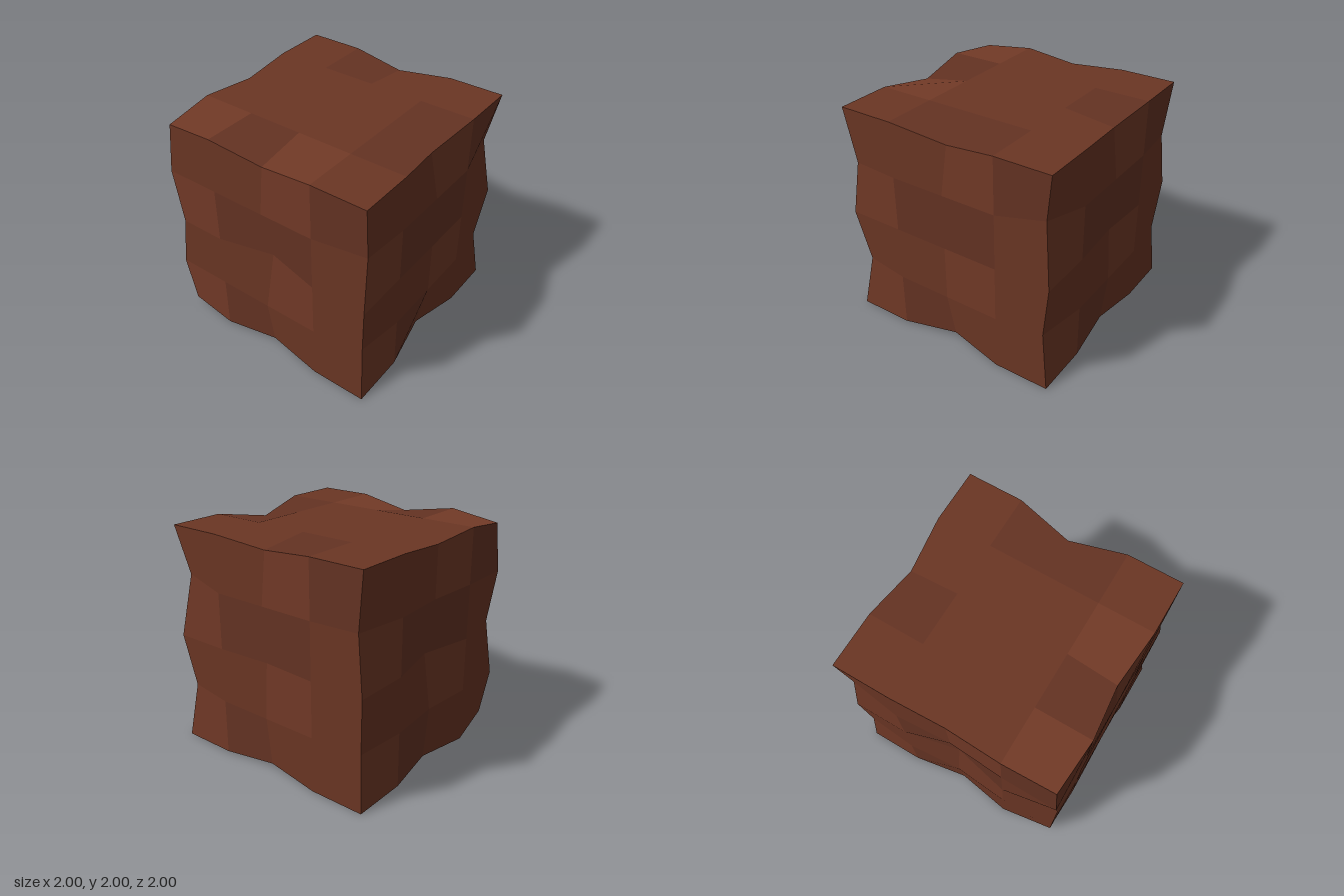
import * as THREE from 'three';

// Dents pushed into a regular 4 x 4 x 4 block: 'x,y,z' of the corner -> offset
const DENTS = {
  // upright edges
  '1,1.5,1': [-0.08, 0.06, -0.075],
  '1,0.5,1': [-0.075, 0, -0.05],
  '-1,1.5,1': [0.075, 0, -0.03],
  '-1,0.5,1': [0.08, 0, -0.06],
  '1,1.5,-1': [-0.033, 0, 0.064],
  '1,0.5,-1': [-0.042, 0, 0.037],
  '-1,1,-1': [0, 0, 0.08],
  // rear corners
  '-1,2,-1': [0.037, -0.055, 0.025],
  '-1,0,-1': [0.015, 0.062, 0.075],
  // middles of the top edges
  '0,2,1': [0, -0.093, -0.086],
  '1,2,0': [-0.053, -0.053, 0],
  '-1,2,0': [0.05, -0.08, 0],
  '0,2,-1': [0, -0.04, 0.027],
  // middles of the bottom edges
  '0,0,1': [0, 0.045, -0.09],
  '1,0,0': [-0.05, 0.042, 0],
  '-1,0,0': [0.066, 0.04, 0],
  '0,0,-1': [0, 0.02, 0.08],
  // hollows in the faces
  '0,1.5,-1': [0, 0, 0.03],
  '0,1,-1': [0, 0, 0.11],
  '0,0.5,-1': [0, 0, 0.04],
  '-1,1,0': [0.115, 0, 0],
  '1,1,0': [-0.03, 0, 0],
};

// Patch colours, row by row from the top left: 0 dark, 1 mid, 2 light
const SIDE = '1120' + '2001' + '1121' + '2011';
const CAP = '2111' + '0110' + '2111' + '1001';
const PATTERNS = [SIDE, SIDE, CAP, CAP, SIDE, SIDE]; // +x -x +y -y +z -z

function soilMaterial(name, color) {
  const material = new THREE.MeshStandardMaterial({ color });
  material.name = name;
  return material;
}

export function createModel() {
  const materials = [
    soilMaterial('dark soil', 0x653323),
    soilMaterial('mid soil', 0x6b3624),
    soilMaterial('light soil', 0x733a27),
  ];

  const geometry = new THREE.BoxGeometry(2, 2, 2, 4, 4, 4).translate(0, 1, 0);

  // Push the corners in; each face keeps its even, flat normals
  const position = geometry.attributes.position;
  for (let i = 0; i < position.count; i++) {
    const corner = [position.getX(i), position.getY(i), position.getZ(i)];
    const key = corner.map((v) => Math.round(v * 2) / 2 + 0).join(',');
    const dent = DENTS[key];
    if (dent) position.setXYZ(i, ...corner.map((v, k) => v + dent[k]));
  }

  // Sort the square patches into one group per colour
  const patches = [[], [], []];
  PATTERNS.forEach((pattern, face) => {
    [...pattern].forEach((shade, cell) => {
      const start = (face * 16 + cell) * 6;
      patches[+shade].push(...geometry.index.array.slice(start, start + 6));
    });
  });
  geometry.clearGroups();
  geometry.setIndex(patches.flat());
  let start = 0;
  patches.forEach((list, shade) => {
    geometry.addGroup(start, list.length, shade);
    start += list.length;
  });

  const block = new THREE.Mesh(geometry, materials);
  block.name = 'soilBlock';
  const model = new THREE.Group();
  model.name = 'soilCube';
  model.add(block);
  return model;
}
